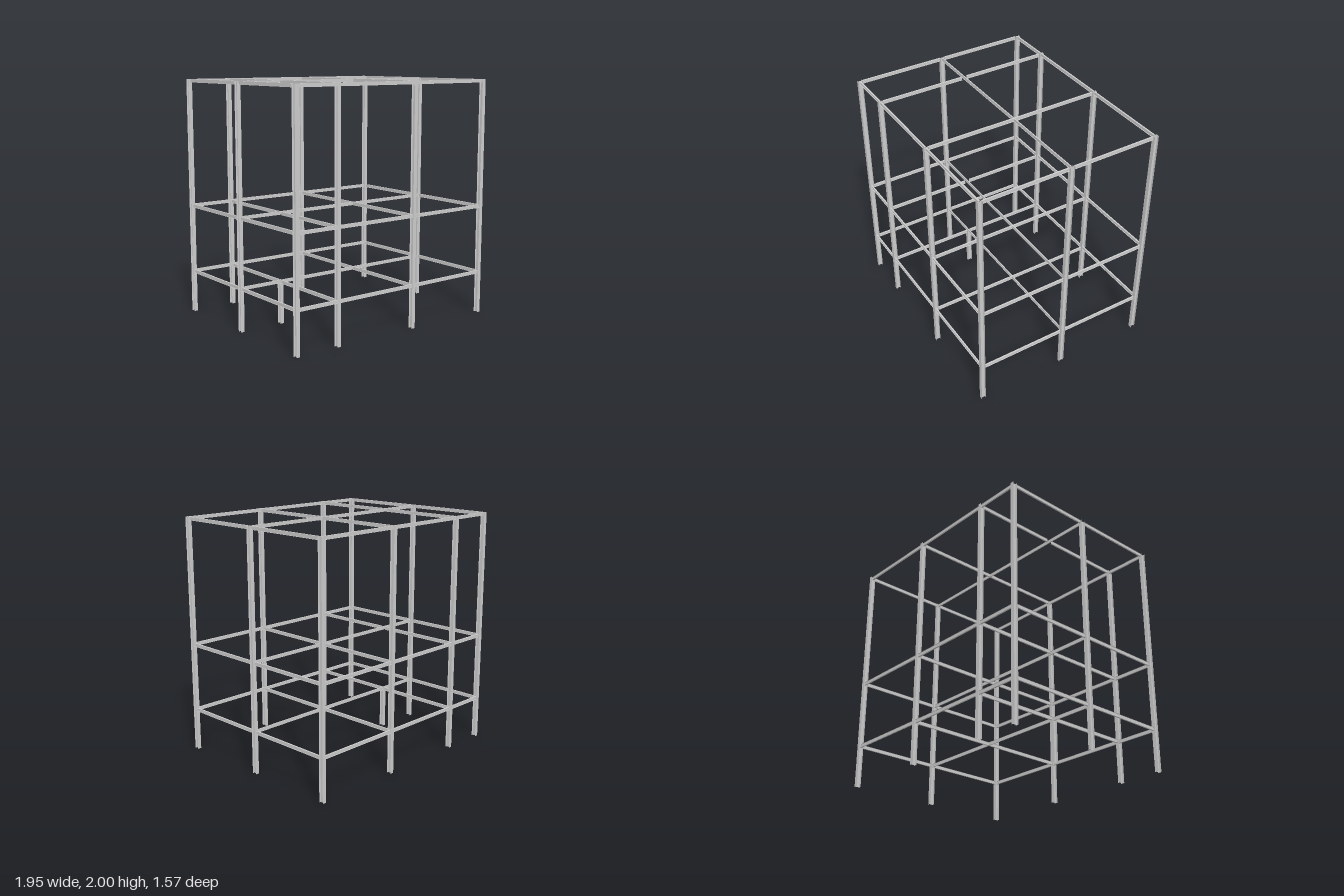
import * as THREE from 'three';
import { mergeGeometries } from 'three/addons/utils/BufferGeometryUtils.js';

const XS = [-0.956, -0.574, 0.191, 0.956]; // column lines across
const ZS = [-0.765, 0, 0.765];             // column lines in depth
const LEVELS = [0.369, 0.942, 2];          // top of the beams on each floor
const COLUMN_W = 0.033, COLUMN_D = 0.037, BEAM_H = 0.028, BEAM_W = 0.013;

const steel = new THREE.MeshStandardMaterial({ color: 0xcccccc, side: THREE.DoubleSide });

// Thin-plate I section running along z: two horizontal flanges joined by an upright web.
function iSection(width, height, length) {
  const flange = (y) => new THREE.PlaneGeometry(width, length).rotateX(-Math.PI / 2).translate(0, y, 0);
  const web = new THREE.PlaneGeometry(length, height).rotateY(Math.PI / 2);
  return mergeGeometries([flange(height / 2), flange(-height / 2), web]);
}

export function createModel() {
  const model = new THREE.Group();
  const add = (name, geometry, x, y, z) => {
    const mesh = new THREE.Mesh(geometry, steel);
    mesh.name = name;
    mesh.position.set(x, y, z);
    model.add(mesh);
  };

  // Columns: flanges face front and back
  const column = (name, x, z, height) =>
    add(name, iSection(COLUMN_W, COLUMN_D, height).rotateX(-Math.PI / 2), x, height / 2, z);
  for (const z of ZS) {
    for (const x of XS) {
      if (z !== 0 || Math.abs(x) > 0.9) column('column', x, z, LEVELS[2]);
    }
  }
  column('shortColumn', XS[1], 0, LEVELS[0]);

  for (const top of LEVELS) {
    const y = top - BEAM_H / 2;

    // Beams across, butting against the column webs
    for (const z of ZS) {
      const stops = z === 0 ? [XS[0], XS[3]] : XS;
      for (let i = 0; i < stops.length - 1; i++) {
        const length = stops[i + 1] - stops[i] - 0.006;
        const width = z === 0 ? 0.009 : BEAM_W;
        add('crossBeam', iSection(width, BEAM_H, length).rotateY(Math.PI / 2),
          (stops[i] + stops[i + 1]) / 2, y, z);
      }
    }

    // Beams in depth, stopping at the column flanges
    for (const x of XS) {
      const stops = x === XS[2] ? [ZS[0], ZS[2]] : ZS;
      for (let i = 0; i < stops.length - 1; i++) {
        const length = stops[i + 1] - stops[i] - COLUMN_D - 0.004;
        add('depthBeam', iSection(BEAM_W, BEAM_H, length), x, y, (stops[i] + stops[i + 1]) / 2);
      }
    }
  }
  return model;
}
